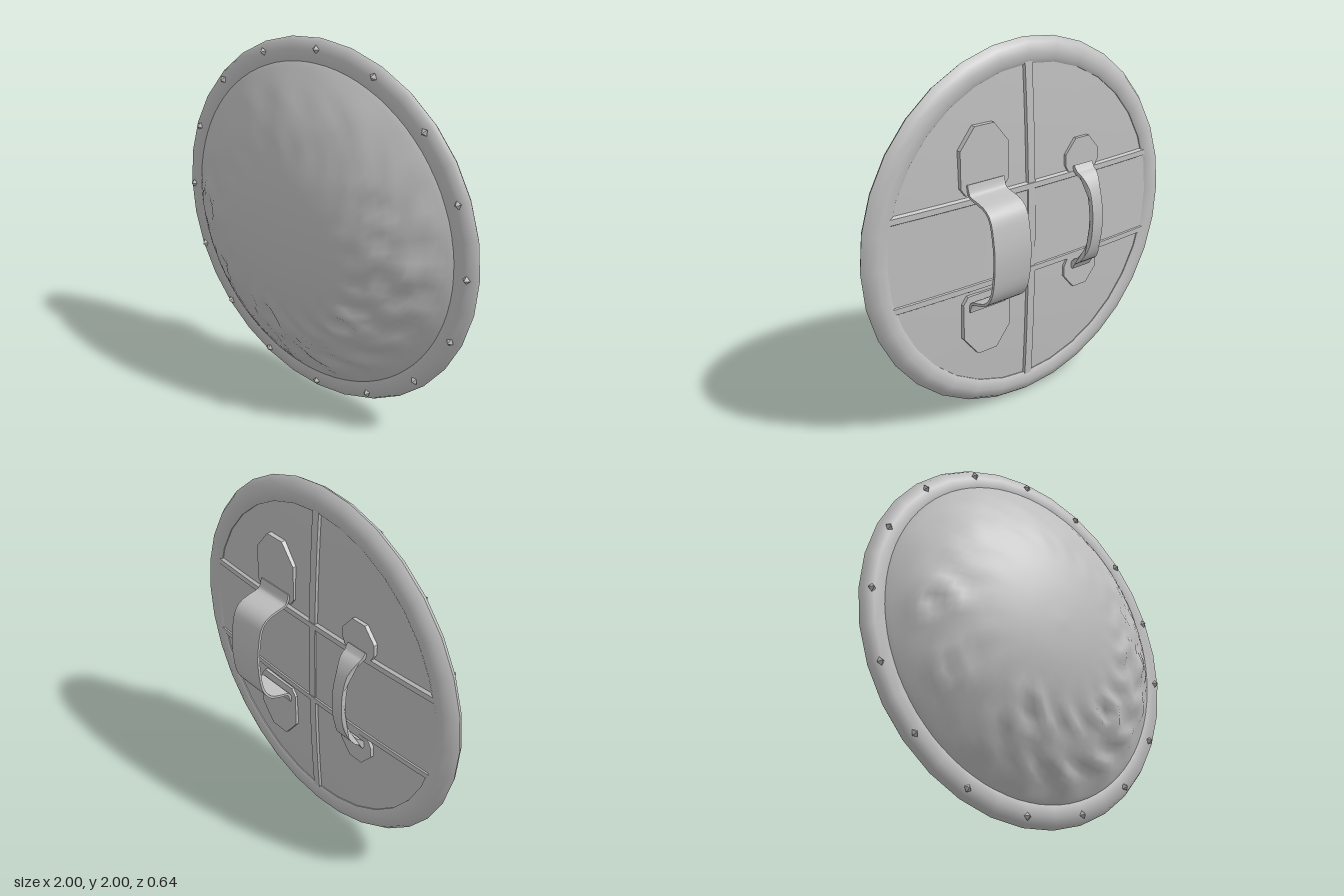
import * as THREE from 'three';
import { mergeVertices, toCreasedNormals } from 'three/addons/utils/BufferGeometryUtils.js';

const metal = new THREE.MeshStandardMaterial({ color: 0xc0c0c0 });
metal.name = 'grey metal';

const vec = (list) => list.map(([x, y]) => new THREE.Vector2(x, y));

// Turned part whose axis points along z; profile is [radius, z]
function turned(profile, segments) {
  return new THREE.LatheGeometry(vec(profile), segments).rotateX(Math.PI / 2);
}

// Moves every vertex by a rule
function reshape(geo, rule) {
  const p = geo.attributes.position;
  const v = new THREE.Vector3();
  for (let i = 0; i < p.count; i++) {
    v.fromBufferAttribute(p, i);
    rule(v);
    p.setXYZ(i, v.x, v.y, v.z);
  }
  return geo;
}

const step = THREE.MathUtils.smoothstep;
const tri = (t) => Math.abs(((t % 1) + 1) % 1 - 0.5) * 4 - 1;
const backZ = (r) => -0.06 + 0.03 * (r / 0.88) ** 2;

// Hammered relief: zigzag folds low and to the left side, plus ringed dents
const dents = [[-0.68, -0.04, 0.09], [-0.58, -0.36, 0.07], [0.6, 0, 0.11], [0.37, -0.38, 0.07], [-0.17, -0.5, 0.09]];
function relief(x, y) {
  const r = Math.hypot(x, y);
  const a = Math.atan2(y, x);
  const side = step(Math.cos(a + 0.75), -0.1, 0.8);
  const band = step(r, 0.3, 0.6) * (1 - step(r, 0.78, 0.87));
  const folds = tri(a * 2.9 + 0.22 * tri(r * 4.5) + 0.1 * Math.sin(r * 17 + a * 3));
  let h = band * (0.003 + 0.014 * side) * folds;
  h += 0.004 * band * Math.sin(x * 11 + 2 * Math.sin(y * 7)) * Math.sin(y * 9 + x * 4);
  for (const [dx, dy, size] of dents) {
    const d = Math.hypot(x - dx, y - dy) / size;
    h += 0.014 * Math.exp(-(((d - 1) * 3) ** 2)) - 0.008 * Math.exp(-((d * 2) ** 2));
  }
  return h;
}

function domeGeometry() {
  const curve = new THREE.SplineCurve(vec([
    [0.89, 0.03], [0.87, 0.055], [0.75, 0.137], [0.6, 0.212], [0.4, 0.278], [0.2, 0.315], [0, 0.327],
  ]));
  const profile = curve.getPoints(26).map((p) => [Math.max(p.x, 0), p.y]);
  profile[profile.length - 1][0] = 0;
  const raw = turned(profile, 80);
  raw.deleteAttribute('normal');
  raw.deleteAttribute('uv');
  const geo = mergeVertices(raw, 1e-4);
  reshape(geo, (v) => { v.z += relief(v.x, v.y); });
  geo.computeVertexNormals();
  return geo;
}

// Plank with sloping long edges, following the curve of the back
function plankGeometry(length, half, slope, height) {
  const geo = new THREE.BoxGeometry(length, half * 2, height, 20, 1, 1);
  reshape(geo, (v) => {
    if (v.z < 0) v.y -= Math.sign(v.y) * slope;
    v.z = backZ(Math.hypot(v.x, v.y)) + (v.z < 0 ? -height : 0.01);
  });
  return toCreasedNormals(geo, 0.3);
}

// Bent strip: path is [distance behind, height], extruded across x
function strapGeometry(path, width, thickness) {
  const curve = new THREE.SplineCurve(vec(path));
  const n = 28;
  const outer = [];
  const inner = [];
  for (let i = 0; i <= n; i++) {
    const p = curve.getPoint(i / n);
    const t = curve.getTangent(i / n);
    outer.push(p);
    inner.unshift(new THREE.Vector2(p.x + t.y * thickness, p.y - t.x * thickness));
  }
  const geo = new THREE.ExtrudeGeometry(new THREE.Shape([...outer, ...inner]), { depth: width, bevelEnabled: false, steps: 1 });
  return geo.translate(0, 0, -width / 2).rotateY(Math.PI / 2);
}

// Thin mounting plate with a clipped end
function footGeometry(w, y0, y1, clip) {
  const shape = new THREE.Shape(vec([
    [-w * 0.8, y0], [w * 0.8, y0], [w, y0 + 0.04], [w, y1 - clip],
    [w * 0.4, y1], [-w * 0.4, y1], [-w, y1 - clip], [-w, y0 + 0.04],
  ]));
  return new THREE.ExtrudeGeometry(shape, { depth: 0.03, bevelEnabled: false }).translate(0, 0, -0.068);
}

export function createModel() {
  const model = new THREE.Group();
  model.name = 'roundShield';
  const body = new THREE.Group();
  body.name = 'shieldBody';
  body.position.set(0, 1, -0.015);
  body.rotation.y = 0.066;
  model.add(body);

  const add = (name, geo, x = 0, y = 0, z = 0) => {
    const mesh = new THREE.Mesh(geo, metal);
    mesh.name = name;
    mesh.position.set(x, y, z);
    body.add(mesh);
    return mesh;
  };

  // Front dome and rounded rim
  add('dome', domeGeometry());
  const rim = [
    [0.87, -0.036], [0.89, -0.046], [0.93, -0.048], [0.975, -0.034], [1, 0],
    [0.985, 0.026], [0.94, 0.04], [0.88, 0.046], [0.87, 0.04], [0.87, -0.036],
  ];
  add('rim', toCreasedNormals(turned(rim, 32), 0.8));

  // Sixteen pointed studs around the rim
  for (let i = 0; i < 16; i++) {
    const a = (i * Math.PI) / 8;
    const stud = add('stud', new THREE.OctahedronGeometry(0.022), 0.95 * Math.cos(a), 0.95 * Math.sin(a), 0.04);
    stud.rotation.z = a;
  }

  // Gently bulging back board
  const back = [0, 0.2, 0.4, 0.6, 0.75, 0.89].map((r) => [r, backZ(r)]);
  add('backBoard', turned(back, 48));

  // Wide cross plank with edge strips, and a narrow upright batten
  add('crossPlank', plankGeometry(1.78, 0.24, 0.01, 0.008));
  for (const s of [-1, 1]) {
    const strip = new THREE.BoxGeometry(1.74, 0.06, 0.02, 20, 1, 1);
    reshape(strip, (v) => {
      if (v.z < 0) v.y *= 0.5;
      v.y += s * 0.235;
      v.z = backZ(Math.hypot(v.x, v.y)) + (v.z < 0 ? -0.015 : 0.01);
    });
    add('plankEdge', toCreasedNormals(strip, 0.3));
  }
  const batten = reshape(plankGeometry(1.78, 0.035, 0.012, 0.012), () => {});
  add('uprightBatten', batten.rotateZ(Math.PI / 2));

  // Wide arm strap
  const armPath = [
    [0.062, 0.33], [0.075, 0.285], [0.1, 0.262], [0.19, 0.24], [0.24, 0.2], [0.262, 0.12], [0.275, 0],
    [0.262, -0.15], [0.235, -0.225], [0.19, -0.27], [0.1, -0.295], [0.075, -0.315], [0.062, -0.36],
  ];
  add('armStrap', toCreasedNormals(strapGeometry(armPath, 0.23, -0.014), 0.6), 0.3);

  // Narrow hand grip, flared at both ends
  const gripPath = [
    [0.055, 0.27], [0.08, 0.235], [0.115, 0.21], [0.15, 0.15], [0.172, 0.05],
    [0.172, -0.07], [0.15, -0.17], [0.115, -0.235], [0.08, -0.26], [0.055, -0.3],
  ];
  const grip = reshape(strapGeometry(gripPath, 0.08, -0.028), (v) => {
    v.x *= 0.9 + 0.7 * step(Math.abs(v.y), 0.15, 0.28);
  });
  add('handGrip', toCreasedNormals(grip, 0.6), -0.35);

  // Mounting plates above and below each handle
  for (const flip of [0, Math.PI]) {
    for (const [name, x, geo] of [
      ['armStrapPlate', 0.3, footGeometry(0.15, 0.275, 0.62, 0.11)],
      ['gripPlate', -0.35, footGeometry(0.115, 0.25, 0.43, 0.08)],
    ]) {
      add(name, geo, x).rotation.z = flip;
    }
  }

  return model;
}
